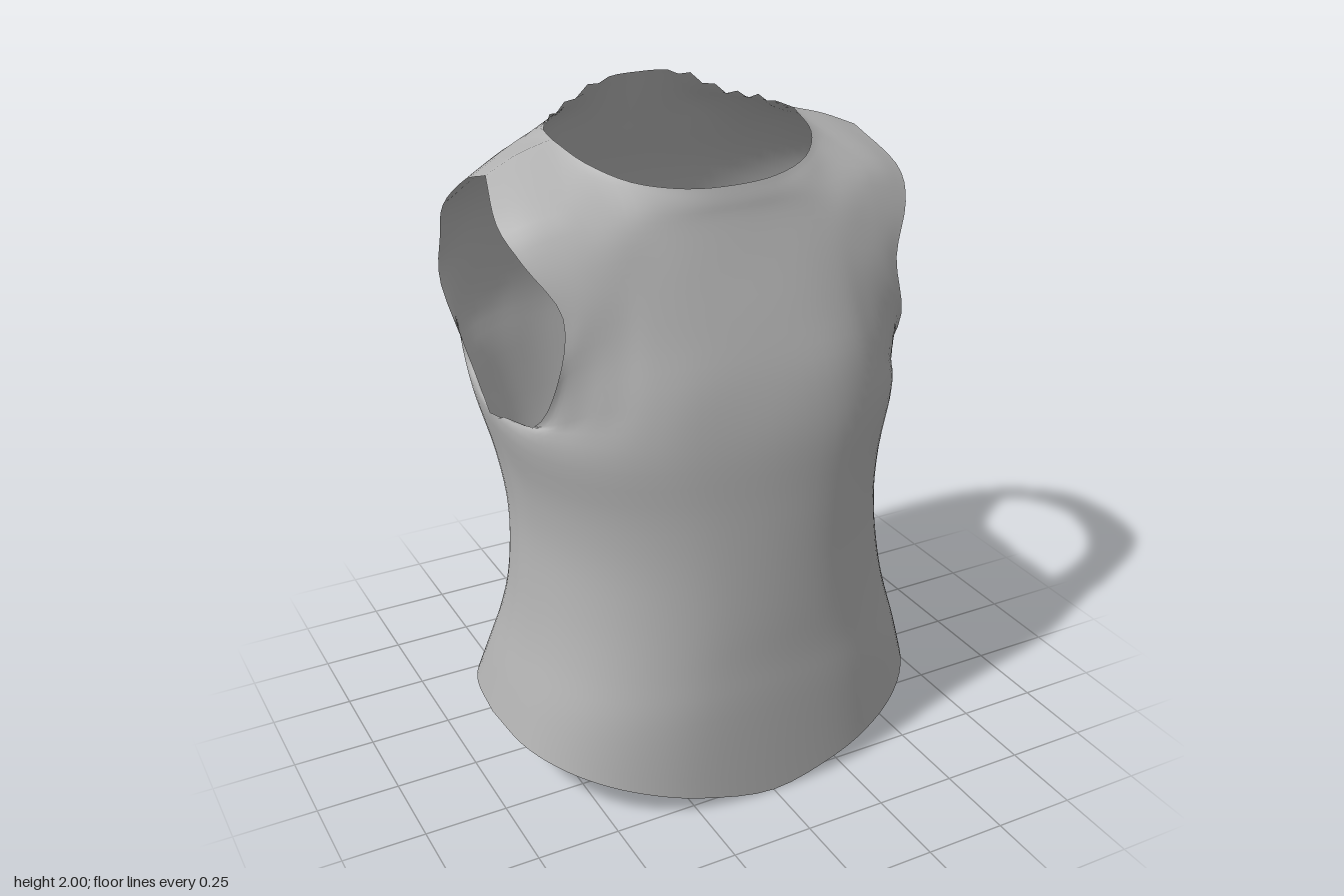
import * as THREE from 'three';
import { mergeVertices } from 'three/addons/utils/BufferGeometryUtils.js';

const STEP = 4; // samples between neighbouring control points

// Horizontal torso sections: height, half width, front z, back z, side seam z, roundness
const SECTIONS = [
  [0, 0.685, 0.545, -0.47, 0, 0.79],
  [0.3, 0.648, 0.538, -0.42, 0, 0.81],
  [0.45, 0.605, 0.53, -0.37, 0, 0.84],
  [0.6, 0.578, 0.525, -0.36, 0, 0.88],
  [0.78, 0.562, 0.515, -0.41, -0.01, 0.88],
  [0.95, 0.575, 0.503, -0.485, -0.03, 0.84],
  [1.14, 0.615, 0.487, -0.53, -0.06, 0.77],
];

// Chest rows from the centre to the armhole edge, ending at neckline and shoulder seam
const CHEST = [
  [[0, 1.3, 0.45], [0.2, 1.3, 0.445], [0.32, 1.295, 0.42], [0.41, 1.28, 0.38], [0.48, 1.26, 0.335], [0.54, 1.22, 0.265], [0.572, 1.175, 0.16]],
  [[0, 1.45, 0.395], [0.18, 1.45, 0.39], [0.3, 1.45, 0.373], [0.38, 1.44, 0.35], [0.45, 1.42, 0.33], [0.51, 1.39, 0.31], [0.55, 1.35, 0.29]],
  [[0, 1.6, 0.332], [0.17, 1.6, 0.33], [0.28, 1.6, 0.32], [0.36, 1.59, 0.31], [0.43, 1.575, 0.302], [0.48, 1.555, 0.295], [0.525, 1.53, 0.285]],
  [[0, 1.72, 0.285], [0.15, 1.72, 0.28], [0.27, 1.72, 0.268], [0.36, 1.72, 0.255], [0.45, 1.71, 0.235], [0.53, 1.69, 0.22], [0.6, 1.665, 0.21]],
  [[0, 1.77, 0.27], [0.13, 1.775, 0.262], [0.25, 1.79, 0.23], [0.36, 1.81, 0.165], [0.46, 1.8, 0.14], [0.55, 1.78, 0.125], [0.63, 1.75, 0.11]],
  [[0, 1.81, 0.255], [0.14, 1.815, 0.24], [0.27, 1.835, 0.18], [0.355, 1.872, 0.07], [0.385, 1.905, -0.08], [0.49, 1.875, -0.08], [0.59, 1.835, -0.06]],
];

// Shoulder-blade rows, laid out the same way
const UPPER_BACK = [
  [[0, 1.3, -0.53], [0.2, 1.3, -0.545], [0.35, 1.3, -0.53], [0.45, 1.29, -0.5], [0.53, 1.28, -0.455], [0.575, 1.25, -0.39], [0.585, 1.21, -0.28]],
  [[0, 1.47, -0.515], [0.2, 1.47, -0.53], [0.33, 1.47, -0.525], [0.43, 1.46, -0.505], [0.51, 1.45, -0.475], [0.57, 1.44, -0.445], [0.62, 1.42, -0.405]],
  [[0, 1.64, -0.475], [0.18, 1.64, -0.49], [0.3, 1.64, -0.49], [0.4, 1.63, -0.475], [0.49, 1.62, -0.45], [0.56, 1.6, -0.42], [0.62, 1.57, -0.385]],
  [[0, 1.79, -0.415], [0.16, 1.79, -0.425], [0.28, 1.79, -0.42], [0.38, 1.775, -0.395], [0.47, 1.755, -0.37], [0.56, 1.72, -0.34], [0.63, 1.69, -0.31]],
  [[0, 1.9, -0.37], [0.13, 1.9, -0.37], [0.25, 1.885, -0.365], [0.36, 1.87, -0.3], [0.44, 1.85, -0.26], [0.53, 1.82, -0.22], [0.605, 1.79, -0.19]],
  [[0, 2, -0.33], [0.13, 1.99, -0.318], [0.28, 1.92, -0.295], [0.362, 1.91, -0.19], [0.385, 1.905, -0.08], [0.49, 1.875, -0.08], [0.59, 1.835, -0.06]],
];

// Rounded half section with the dipping hem on the lowest row
function sectionRow([y, w, front, back, side, round], isFront, isHem) {
  const power = isFront ? round : round - 0.04;
  const row = [];
  for (let c = 0; c <= 6; c++) {
    const a = (c / 6) * Math.PI / 2;
    const s = Math.sin(a) ** power;
    const x = w * s;
    const depth = c < 6 ? Math.cos(a) ** power : 0;
    let z = side + ((isFront ? front : back) - side) * depth;
    if (!isFront && y > 0.7) z += 0.015 * Math.exp(-((x / 0.12) ** 2)); // spine groove
    const hem = isFront ? 0.17 * s ** 1.3 : 0.19 - 0.02 * s;
    row.push([x, isHem ? hem : y, z]);
  }
  return row;
}

// Spline through the points, broken at the given corner indices
function smooth(points, corners = []) {
  const ends = [0, ...corners, points.length - 1];
  const result = [points[0].clone()];
  for (let k = 1; k < ends.length; k++) {
    const piece = points.slice(ends[k - 1], ends[k] + 1);
    const curve = new THREE.CatmullRomCurve3(piece, false, 'catmullrom', 0.5);
    const n = (piece.length - 1) * STEP;
    for (let i = 1; i <= n; i++) result.push(curve.getPoint(i / n));
  }
  return result;
}

// Mirror each half row, then smooth across and upward
function panelGrid(isFront) {
  const rows = [
    ...SECTIONS.map((s, i) => sectionRow(s, isFront, i === 0)),
    ...(isFront ? CHEST : UPPER_BACK),
  ].map((row, i, all) => {
    const half = row.map((p) => new THREE.Vector3(...p));
    const other = half.slice(1).reverse().map((p) => new THREE.Vector3(-p.x, p.y, p.z));
    // the top row turns from neckline to shoulder seam
    return smooth([...other, ...half], i === all.length - 1 ? [2, 10] : []);
  });
  const last = rows[0].length - 1;
  // the outer columns turn from side seam to armhole edge
  const columns = rows[0].map((_, j) =>
    smooth(rows.map((r) => r[j]), j === 0 || j === last ? [SECTIONS.length - 1] : []));
  return columns[0].map((_, i) => columns.map((col) => col[i]));
}

export function createModel() {
  const front = panelGrid(true);
  const back = panelGrid(false);
  const top = front.length - 1;
  const last = front[0].length - 1;

  // Slightly ragged back neckline
  for (let j = 3 * STEP; j <= last - 3 * STEP; j++) {
    const p = back[top][j];
    if (Math.abs(p.x) > 0.12) p.y += j % 2 ? 0.008 : -0.008;
  }

  const positions = [];
  const index = [];
  const addPanel = (grid, flip) => {
    const base = positions.length / 3;
    const w = last + 1;
    grid.forEach((row) => row.forEach((p) => positions.push(p.x, p.y, p.z)));
    for (let i = 0; i < top; i++) {
      for (let j = 0; j < last; j++) {
        const a = base + i * w + j;
        const b = a + 1, c = a + w, d = c + 1;
        if (flip) index.push(a, c, b, b, c, d);
        else index.push(a, b, c, b, d, c);
      }
    }
  };
  addPanel(front, false);
  addPanel(back, true);

  // Merging joins the side and shoulder seams
  let geometry = new THREE.BufferGeometry();
  geometry.setAttribute('position', new THREE.Float32BufferAttribute(positions, 3));
  geometry.setIndex(index);
  geometry = mergeVertices(geometry, 1e-4);
  geometry.computeVertexNormals();

  const fabric = new THREE.MeshStandardMaterial({ color: 0xb2b2b2, side: THREE.DoubleSide });
  fabric.name = 'grey fabric';
  const shirt = new THREE.Mesh(geometry, fabric);
  shirt.name = 'sleevelessTop';

  const group = new THREE.Group();
  group.name = 'garment';
  group.add(shirt);
  return group;
}
